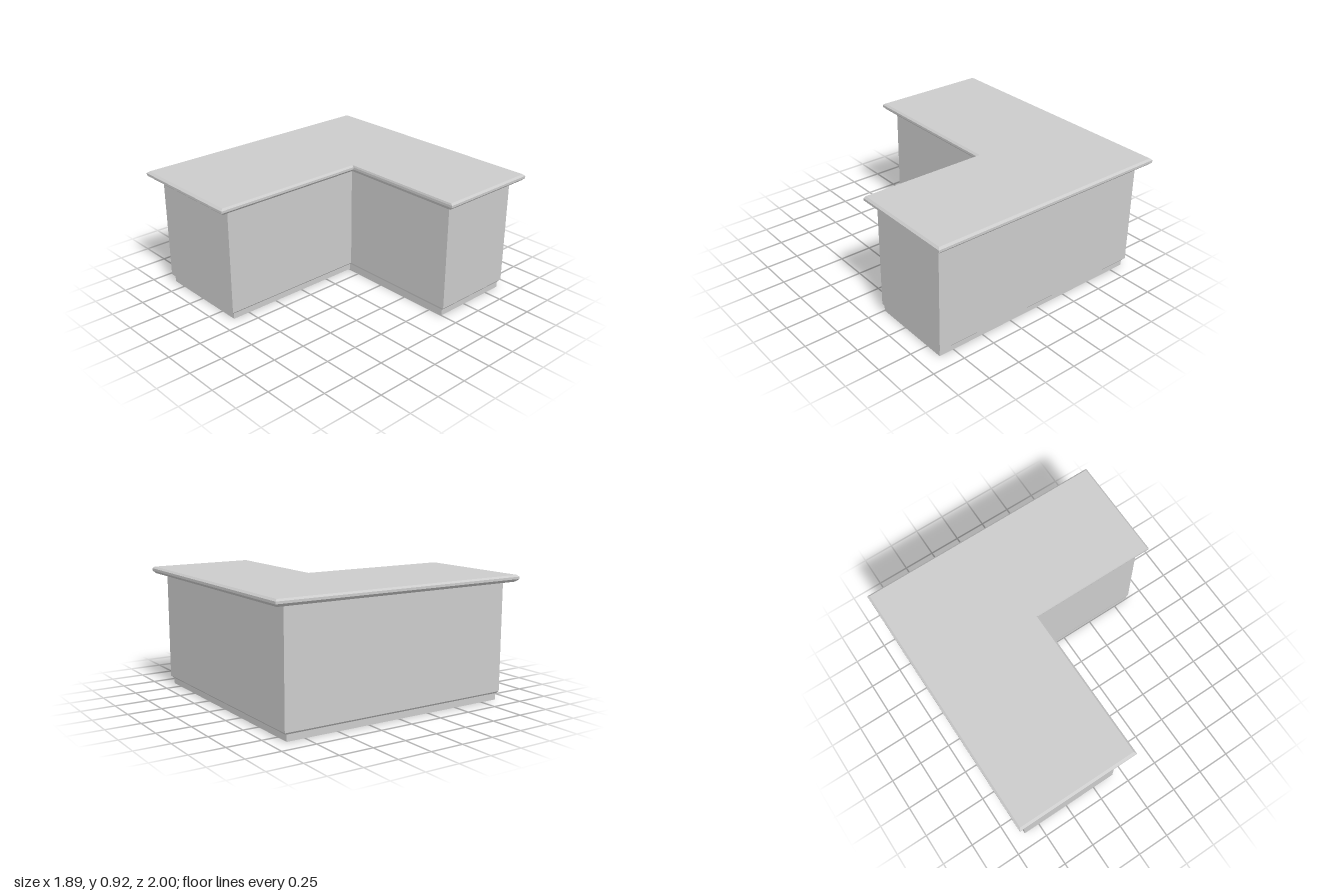
import * as THREE from 'three';

// L-shaped outline, counter-clockwise seen from above, starting at the inner corner
function outline([y, x0, x1, z0, z1, xi, zi]) {
  return [[xi, zi], [x1, zi], [x1, z0], [x0, z0], [x0, z1], [xi, z1]]
    .map(([x, z]) => [x, y, z]);
}

// Stack of L-shaped sections, bottom to top: [y, left, right, back, front, innerX, innerZ]
function lShape(name, sections, material) {
  const rings = sections.map(outline);
  const pos = [];
  const tri = (a, b, c) => pos.push(...a, ...b, ...c);
  for (let r = 0; r < rings.length - 1; r++) {
    const lo = rings[r], hi = rings[r + 1];
    for (let i = 0; i < 6; i++) {
      const j = (i + 1) % 6;
      tri(lo[i], lo[j], hi[j]);
      tri(lo[i], hi[j], hi[i]);
    }
  }
  // Caps fan out from the inner corner, which sees every other corner
  const bottom = rings[0], top = rings[rings.length - 1];
  for (let i = 1; i < 5; i++) {
    tri(top[0], top[i], top[i + 1]);
    tri(bottom[0], bottom[i + 1], bottom[i]);
  }
  const geometry = new THREE.BufferGeometry();
  geometry.setAttribute('position', new THREE.Float32BufferAttribute(pos, 3));
  geometry.computeVertexNormals();
  const mesh = new THREE.Mesh(geometry, material);
  mesh.name = name;
  return mesh;
}

export function createModel() {
  const group = new THREE.Group();
  group.name = 'cornerCounter';
  const material = new THREE.MeshStandardMaterial({ color: 0xcccccc, flatShading: true });

  // Recessed plinth
  group.add(lShape('plinth', [
    [0, -0.864, 0.864, -0.885, 0.885, -0.105, -0.252],
    [0.05, -0.864, 0.864, -0.885, 0.885, -0.105, -0.252],
  ], material));

  // Cabinet body with a chamfered lower edge
  group.add(lShape('cabinetBody', [
    [0.05, -0.869, 0.869, -0.895, 0.892, -0.098, -0.25],
    [0.063, -0.879, 0.879, -0.907, 0.905, -0.086, -0.248],
    [0.87, -0.879, 0.879, -0.907, 0.905, -0.086, -0.248],
  ], material));

  // Overhanging worktop, chamfered above and below
  group.add(lShape('worktop', [
    [0.87, -0.925, 0.925, -0.98, 0.977, -0.035, -0.202],
    [0.89, -0.946, 0.946, -1, 1, -0.015, -0.195],
    [0.907, -0.946, 0.946, -1, 1, -0.015, -0.195],
    [0.92, -0.932, 0.932, -0.985, 0.982, -0.029, -0.2],
  ], material));

  return group;
}
